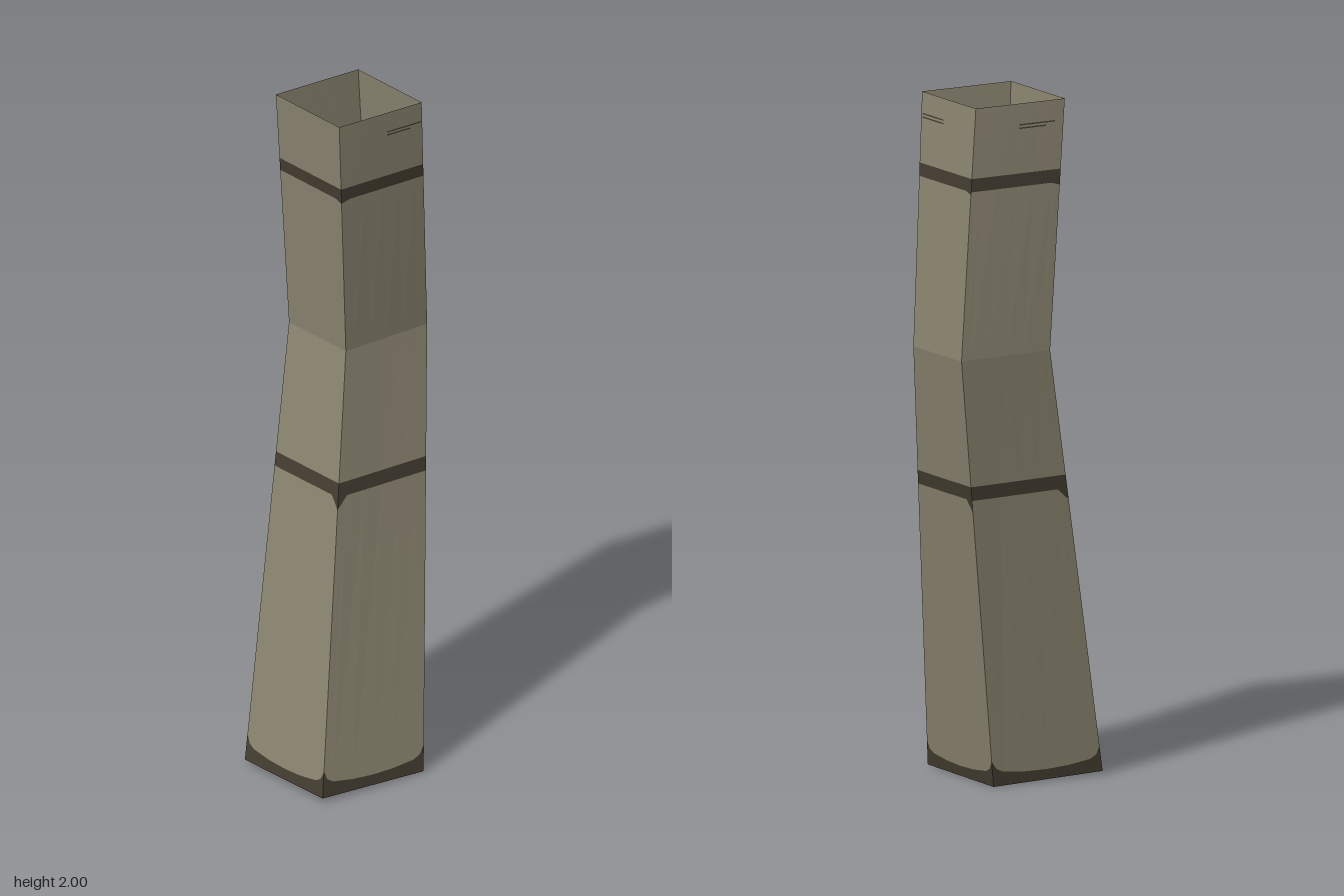
import * as THREE from 'three';

const metal = new THREE.MeshStandardMaterial({ color: 0x8c8671, side: THREE.DoubleSide });
metal.name = 'dull khaki metal';
const dark = new THREE.MeshStandardMaterial({ color: 0x443d31, side: THREE.DoubleSide });
dark.name = 'dark seam';

// Corners of each section: front left, front right, back right, back left (as seen from the front)
const v = (x, y, z) => new THREE.Vector3(x, y, z);
const foot = [v(-0.27, 0.014, 0.24), v(0.093, 0.004, 0.24), v(0.093, 0, -0.125), v(-0.27, 0.01, -0.125)];
const knee = [v(-0.035, 1.275, 0.042), v(0.27, 1.275, 0.025), v(0.27, 1.275, -0.242), v(-0.035, 1.275, -0.225)];
const rim = [v(-0.09, 2, 0.083), v(0.206, 2, 0.083), v(0.206, 2, -0.215), v(-0.09, 2, -0.215)];

// Point on a wall at u across and height h
function wallPoint(w, u, h) {
  const upper = h > 1.275;
  const [a, b] = upper ? [knee, rim] : [foot, knee];
  const t = upper ? (h - 1.275) / 0.725 : h / 1.275;
  const n = (w + 1) % 4;
  const p = a[w].clone().lerp(a[n], u);
  return p.lerp(b[w].clone().lerp(b[n], u), t);
}

// Strip of wall between two height profiles, optionally raised outwards
function strip(w, us, low, high, raise = 0) {
  const pos = [];
  const out = v([0, 1, 0, -1][w], 0, [1, 0, -1, 0][w]).multiplyScalar(raise);
  for (let i = 0; i < us.length - 1; i++) {
    const [u0, u1] = [us[i], us[i + 1]];
    const a = wallPoint(w, u0, low(u0)), b = wallPoint(w, u1, low(u1));
    const c = wallPoint(w, u1, high(u1)), d = wallPoint(w, u0, high(u0));
    for (const p of [a, b, c, a, c, d]) pos.push(...p.add(out.clone()).toArray().slice(0, 3)), p.sub(out);
  }
  const g = new THREE.BufferGeometry();
  g.setAttribute('position', new THREE.Float32BufferAttribute(pos, 3));
  g.computeVertexNormals();
  return g;
}

export function createModel() {
  const group = new THREE.Group();
  group.name = 'bentSquareDuct';
  const us = [0, 0.04, 0.1, 0.3, 0.5, 0.7, 0.9, 0.96, 1];
  const names = ['front', 'right', 'back', 'left'];
  const dipEnd = [0, 1, 1, 1];
  const flat = (h) => () => h;

  const add = (name, geometry, material) => {
    const m = new THREE.Mesh(geometry, material);
    m.name = name;
    group.add(m);
  };

  names.forEach((side, w) => {
    // Worn edges: the foot band climbs at the corners, the others sag at one end
    const footTop = (u) => 0.03 + 0.016 * Math.abs(2 * u - 1) ** 2 + 0.03 * Math.abs(2 * u - 1) ** 16;
    const sag = (u) => Math.max(0, 1 - Math.abs(u - dipEnd[w]) / 0.1);
    const midLow = (u) => 0.857 - 0.035 * sag(u);
    const topLow = (u) => 1.76 - 0.008 * sag(u);
    const rows = [
      ['FootBand', flat(0), footTop, dark],
      ['LowerWall', footTop, midLow, metal],
      ['MiddleBand', midLow, flat(0.898), dark],
      ['KneeWall', flat(0.898), flat(1.275), metal],
      ['UpperWall', flat(1.275), topLow, metal],
      ['UpperBand', topLow, flat(1.798), dark],
      ['RimWall', flat(1.798), flat(2), metal],
    ];
    for (const [part, low, high, mat] of rows) add(side + part, strip(w, us, low, high), mat);
  });

  // Fine scored lines below the rim
  for (const [w, u0, u1, u2] of [[0, 0.57, 0.98, 0.85], [1, 0.03, 0.43, 0.43], [2, 0.5, 0.9, 0.8]]) {
    add(names[w] + 'ScoreUpper', strip(w, [u0, u1], flat(1.937), flat(1.941), 0.002), dark);
    add(names[w] + 'ScoreLower', strip(w, [u0, u2], flat(1.927), flat(1.931), 0.002), dark);
  }
  return group;
}
